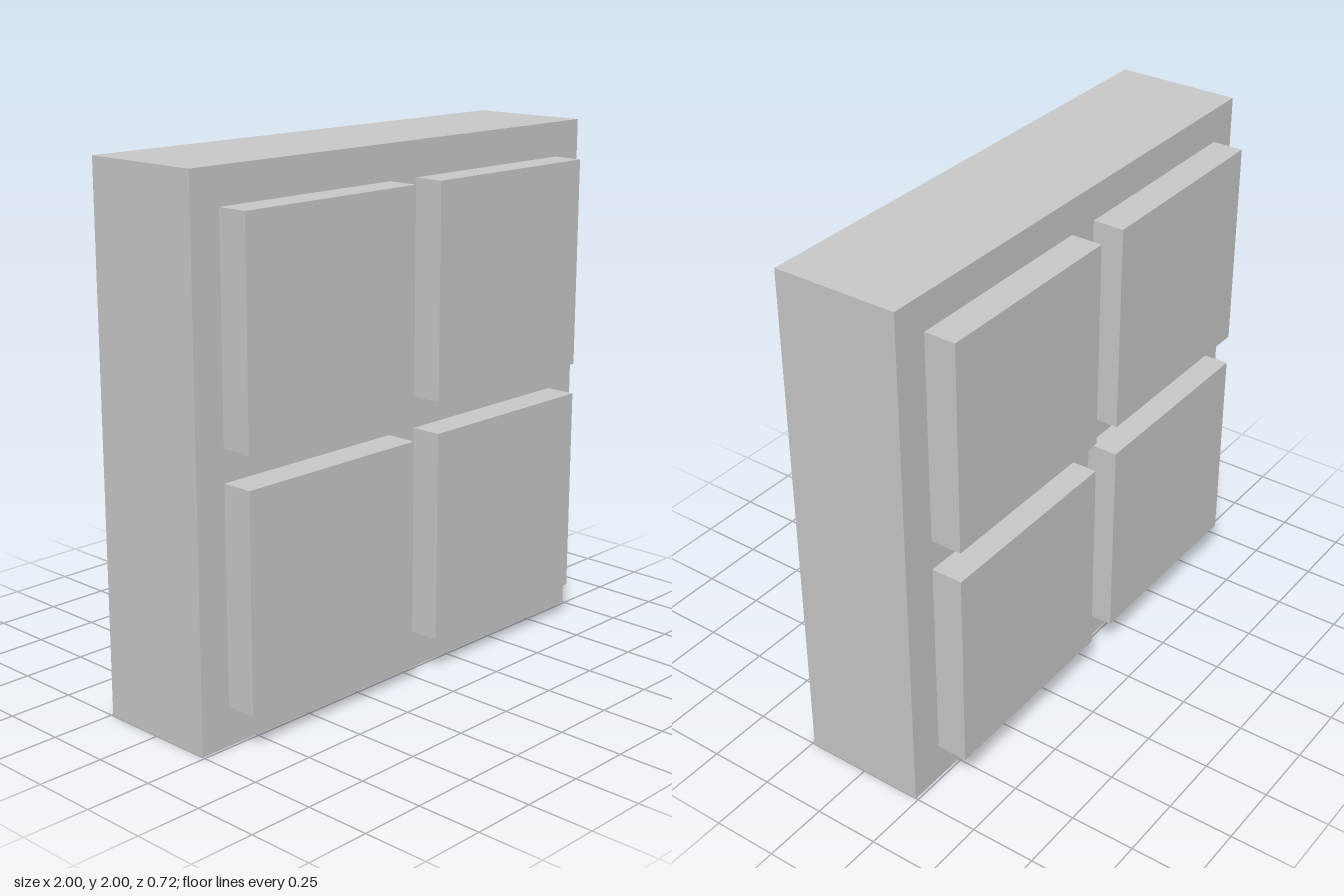
import * as THREE from 'three';

export function createModel() {
  const model = new THREE.Group();
  model.name = 'panelBlock';

  const grey = new THREE.MeshStandardMaterial({ color: 0xc8c8c8 });
  grey.name = 'light grey';

  function addBox(name, size, position) {
    const mesh = new THREE.Mesh(new THREE.BoxGeometry(...size), grey);
    mesh.name = name;
    mesh.position.set(...position);
    model.add(mesh);
  }

  // Main slab
  addBox('slab', [2, 2, 0.48], [0, 1, 0]);

  // Four raised square panels on each face
  const depth = 0.12;
  for (const [face, side] of [['front', 1], ['back', -1]]) {
    for (const [row, y] of [['Lower', 0.547], ['Upper', 1.467]]) {
      for (const [column, x] of [['Right', -0.475], ['Left', 0.46]]) {
        addBox(`${face}${row}${column}Panel`, [0.803, 0.8, depth], [x, y, side * (0.24 + depth / 2)]);
      }
    }
  }

  return model;
}
